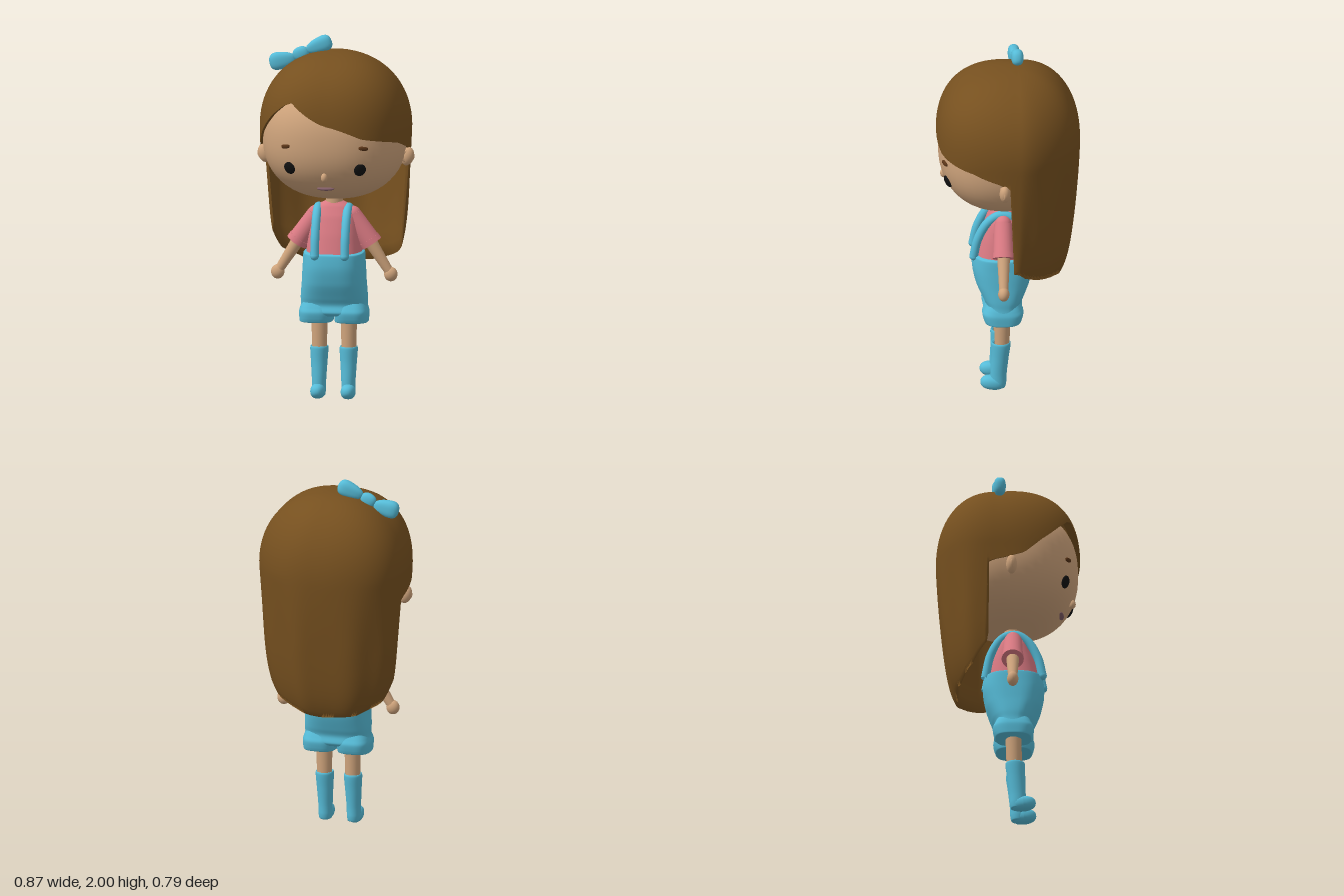
import * as THREE from 'three';

const mat = (color) => new THREE.MeshStandardMaterial({ color, side: THREE.DoubleSide });
const HAIR = mat(0x76501f), SKIN = mat(0xcfa47c), BLUE = mat(0x56bcd8), PINK = mat(0xda7a83);
const BLACK = mat(0x111111), BROW = mat(0x5a3518), LIP = mat(0x85606a);
const CX = -0.012; // body centre line
const V = (x, y, z) => new THREE.Vector3(x, y, z);
const spow = (v, e) => Math.sign(v) * Math.abs(v) ** e;

// Closed tube of rows running downward, columns running from front toward +x.
function grid(rows, cols, fn) {
  const pos = [], idx = [];
  for (let r = 0; r <= rows; r++) {
    for (let c = 0; c < cols; c++) {
      pos.push(...fn(r / rows, -Math.PI + (c / cols) * Math.PI * 2));
      if (r === rows) continue;
      const a = r * cols + c, d = r * cols + ((c + 1) % cols);
      idx.push(a, a + cols, d, d, a + cols, d + cols);
    }
  }
  const g = new THREE.BufferGeometry();
  g.setAttribute('position', new THREE.Float32BufferAttribute(pos, 3));
  g.setIndex(idx);
  g.computeVertexNormals();
  return g;
}

// Smooth loft through rings [y, rx, rz, cz], listed from top to bottom.
function loft(rings, cx, power = 2) {
  const centre = new THREE.CatmullRomCurve3(rings.map(([y, , , cz]) => V(0, y, cz)));
  const size = new THREE.CatmullRomCurve3(rings.map(([, rx, rz]) => V(rx, 0, rz)));
  return grid((rings.length - 1) * 6, 40, (t, p) => {
    const c = centre.getPoint(t), s = size.getPoint(t), e = 2 / power;
    return [cx + s.x * spow(Math.sin(p), e), c.y, c.z + s.z * spow(Math.cos(p), e)];
  });
}

// Ellipsoid, boxier as power rises, widening along x with flare.
function blob(rx, ry, rz, power = 2, flare = 0, seg = 28) {
  const g = new THREE.SphereGeometry(1, seg, Math.round(seg * 0.7));
  const p = g.attributes.position, v = V(0, 0, 0);
  for (let i = 0; i < p.count; i++) {
    v.fromBufferAttribute(p, i);
    v.divideScalar((Math.abs(v.x) ** power + Math.abs(v.y) ** power + Math.abs(v.z) ** power) ** (1 / power));
    const k = 1 + flare * v.x;
    p.setXYZ(i, v.x * rx, v.y * ry * k, v.z * rz * k);
  }
  g.computeVertexNormals();
  return g;
}

// Tapered cylinder from a to b.
function limb(a, b, ra, rb) {
  const d = b.clone().sub(a);
  const g = new THREE.CylinderGeometry(rb, ra, d.length(), 24);
  g.applyQuaternion(new THREE.Quaternion().setFromUnitVectors(V(0, 1, 0), d.normalize()));
  return g.translate(...a.clone().add(b).multiplyScalar(0.5).toArray());
}

// Head shape, and the face depth at a given x, y
const HEAD = { c: V(-0.008, 1.465, 0.02), rx: 0.396, ry: 0.35, rz: 0.368, p: 2.28 };
const faceZ = (x, y) => HEAD.c.z + HEAD.rz * (1 - Math.abs((x - HEAD.c.x) / HEAD.rx) ** HEAD.p
  - Math.abs((y - HEAD.c.y) / HEAD.ry) ** HEAD.p) ** (1 / HEAD.p);

// Height of the hair's lower edge by angle in degrees (0 = front, + toward +x)
const HAIRLINE = [[-180, 0.7], [-145, 0.72], [-115, 0.79], [-98, 0.9], [-96, 1.36], [-75, 1.42], [-62, 1.51],
  [-45, 1.61], [-32, 1.67], [-24, 1.69], [-10, 1.62], [0, 1.57], [10, 1.54], [23, 1.5], [60, 1.46], [80, 1.41],
  [86, 1.38], [88, 0.84], [100, 0.8], [140, 0.73], [180, 0.7]];
function hairEdge(deg) {
  const i = Math.max(1, HAIRLINE.findIndex(([a]) => a >= deg - 1e-6));
  const [a0, y0] = HAIRLINE[i - 1], [a1, y1] = HAIRLINE[i];
  return y0 + ((y1 - y0) * (deg - a0)) / (a1 - a0);
}

// Hair: dome over the head, hanging straight behind the ears, then folded inward
function hairPoint(t, phi) {
  const edge = hairEdge((phi * 180) / Math.PI);
  const split = Math.max(1.45, edge + 0.02);
  const inner = t > 0.7;
  const s = inner ? (1 - t) / 0.3 : t / 0.7;
  const y = s < 0.6 ? 1.92 - (1.92 - split) * (s / 0.6) ** 1.8 : split - (split - edge) * (s - 0.6) / 0.4;
  const front = Math.max(0, Math.cos(phi)), back = Math.max(0, -Math.cos(phi));
  const power = 2.15 + 0.45 * front;
  const dome = y > 1.5 ? Math.max(0, 1 - ((y - 1.5) / 0.42) ** power) ** (1 / power) : 1;
  const drop = Math.max(0, (1.5 - y) / 0.8);
  const side = 0.415 - 0.04 * drop - 0.08 * drop ** 6;
  const depth = front > 0 ? 0.45 : 0.34 - 0.08 * drop ** 1.5 - 0.035 * drop ** 10;
  const wave = 1 + 0.016 * Math.sin(phi * 9 + 1) * Math.min(1, drop * 2);
  const k = dome * wave;
  // rounder behind the left side, fuller on the right
  const e = 0.82 + (phi > 0 ? (0.4 + 0.3 * drop) * Math.sin(phi) * back ** 0.3 : -0.05 * front);
  // the inner layer meets the outer at the sides and is thickest at the back
  const [ix, iz] = inner ? [0.96, front > 0 ? 0.9 : 0.82] : [1, 1];
  return [-0.01 + side * k * ix * spow(Math.sin(phi), e), y - (inner ? 0.03 * (1 - s) : 0),
    -0.05 + depth * k * iz * spow(Math.cos(phi), e)];
}

export function createModel() {
  const model = new THREE.Group();
  const add = (name, geo, material, pos, rot) => {
    const m = new THREE.Mesh(geo, material);
    m.name = name;
    if (pos) m.position.copy(pos);
    if (rot) m.rotation.set(...rot);
    model.add(m);
  };

  // Head and hair
  add('head', blob(HEAD.rx, HEAD.ry, HEAD.rz, HEAD.p, 0, 48), SKIN, HEAD.c);
  add('hair', grid(80, 180, hairPoint), HAIR);
  add('neck', limb(V(CX, 1.04, 0.03), V(CX, 1.17, 0.03), 0.05, 0.045), SKIN);

  // Face
  const FX = -0.025;
  add('nose', blob(0.018, 0.026, 0.02), SKIN, V(FX, 1.28, faceZ(FX, 1.28) + 0.008));
  add('mouth', blob(0.048, 0.011, 0.016), LIP, V(FX, 1.21, faceZ(FX, 1.21)), [0.3, 0, 0]);

  // Shirt
  add('shirt', loft([[1.1, 0.04, 0.04, 0.03], [1.075, 0.09, 0.06, 0.03], [1.02, 0.125, 0.09, 0.03],
    [0.92, 0.14, 0.125, 0.03], [0.8, 0.155, 0.15, 0.035]], CX, 2.3), PINK);

  // Shorts
  add('shortsBody', loft([[0.822, 0.148, 0.148, 0.035], [0.815, 0.166, 0.164, 0.035], [0.75, 0.17, 0.168, 0.035],
    [0.65, 0.176, 0.15, 0.035], [0.57, 0.183, 0.118, 0.033], [0.525, 0.183, 0.1, 0.033],
    [0.49, 0.186, 0.108, 0.035], [0.468, 0.17, 0.09, 0.035], [0.465, 0.0, 0.0, 0.035]], CX, 2.7), BLUE);

  const strapPath = [[0.815, 0.194], [0.92, 0.17], [1.02, 0.115], [1.062, 0.05], [1.045, -0.02], [0.95, -0.085], [0.8, -0.12]];

  for (const s of [1, -1]) {
    const side = s > 0 ? 'left' : 'right';
    const n = (part) => side + part;

    // Ear with raised rim
    add(n('Ear'), blob(0.036, 0.052, 0.03), SKIN, V(-0.003 + s * 0.394, 1.352, 0.03), [0, 0, -s * 0.25]);
    add(n('EarRim'), new THREE.TorusGeometry(0.03, 0.008, 10, 24), SKIN,
      V(-0.003 + s * 0.398, 1.354, 0.042), [0, s * 0.4, 0]);

    // Eye and brow lie against the face
    const ex = FX + s * 0.195, bx = FX + s * 0.215;
    add(n('Eye'), blob(0.034, 0.036, 0.014), BLACK, V(ex, 1.325, faceZ(ex, 1.325)), [0.35, s * 0.42, 0]);
    add(n('Brow'), blob(0.026, 0.011, 0.012, 3), BROW, V(bx, 1.447, faceZ(bx, 1.447)), [0, s * 0.42, -s * 0.12]);

    // Sleeve with hem
    const shoulder = V(CX + s * 0.1, 1.02, 0.033), cuff = V(CX + s * 0.208, 0.862, 0.033);
    add(n('Shoulder'), blob(0.05, 0.05, 0.046), PINK, shoulder);
    add(n('Sleeve'), limb(shoulder, cuff, 0.05, 0.058), PINK);
    add(n('SleeveHem'), limb(cuff.clone().lerp(shoulder, 0.16), cuff, 0.06, 0.061), PINK);

    // Arm and hand
    const hand = V(CX + s * 0.312, 0.695, 0.035);
    add(n('Arm'), limb(cuff.clone().lerp(shoulder, 0.2), hand, 0.037, 0.024), SKIN);
    add(n('Hand'), blob(0.037, 0.04, 0.031), SKIN, hand);

    // Strap over the shoulder
    const sx = CX - 0.005 + s * 0.083;
    const path = new THREE.CatmullRomCurve3(strapPath.map(([y, z]) => V(sx, y, z)));
    add(n('Strap'), new THREE.TubeGeometry(path, 48, 0.024, 14), BLUE);
    add(n('StrapEnd'), blob(0.024, 0.024, 0.024), BLUE, V(sx, 0.815, 0.194));

    // Short leg with gathered hem
    const lx = CX + s * 0.081;
    add(n('ShortsLeg'), loft([[0.54, 0.075, 0.09, 0.035], [0.515, 0.086, 0.102, 0.035], [0.485, 0.094, 0.113, 0.035],
      [0.45, 0.093, 0.106, 0.035], [0.43, 0.09, 0.095, 0.035], [0.432, 0.03, 0.03, 0.035]], CX + s * 0.097, 2.8), BLUE);

    // Leg, boot and foot
    add(n('Leg'), limb(V(lx, 0.24, 0.04), V(lx, 0.5, 0.035), 0.04, 0.046), SKIN);
    add(n('Boot'), loft([[0.285, 0.038, 0.04, 0.045], [0.292, 0.046, 0.05, 0.045], [0.28, 0.05, 0.054, 0.045],
      [0.2, 0.045, 0.048, 0.05], [0.1, 0.039, 0.045, 0.058], [0.05, 0.038, 0.044, 0.059],
      [0.018, 0.033, 0.036, 0.058], [0.012, 0, 0, 0.058]], lx), BLUE);
    add(n('Foot'), blob(0.04, 0.041, 0.068, 2.3), BLUE, V(lx + s * 0.003, 0.045, 0.09), [-0.12, 0, 0]);
  }

  // Hair bow
  add('bowKnot', blob(0.045, 0.037, 0.025, 2.3), BLUE, V(-0.207, 1.897, -0.04), [0, 0, 0.42]);
  add('bowLeftLobe', blob(0.074, 0.042, 0.031, 2.6, 0.28), BLUE, V(-0.108, 1.943, -0.047), [0, 0.08, 0.38]);
  add('bowRightLobe', blob(0.072, 0.046, 0.031, 2.6, 0.25), BLUE, V(-0.308, 1.857, -0.037), [0, 0.05, Math.PI + 0.2]);
  return model;
}
